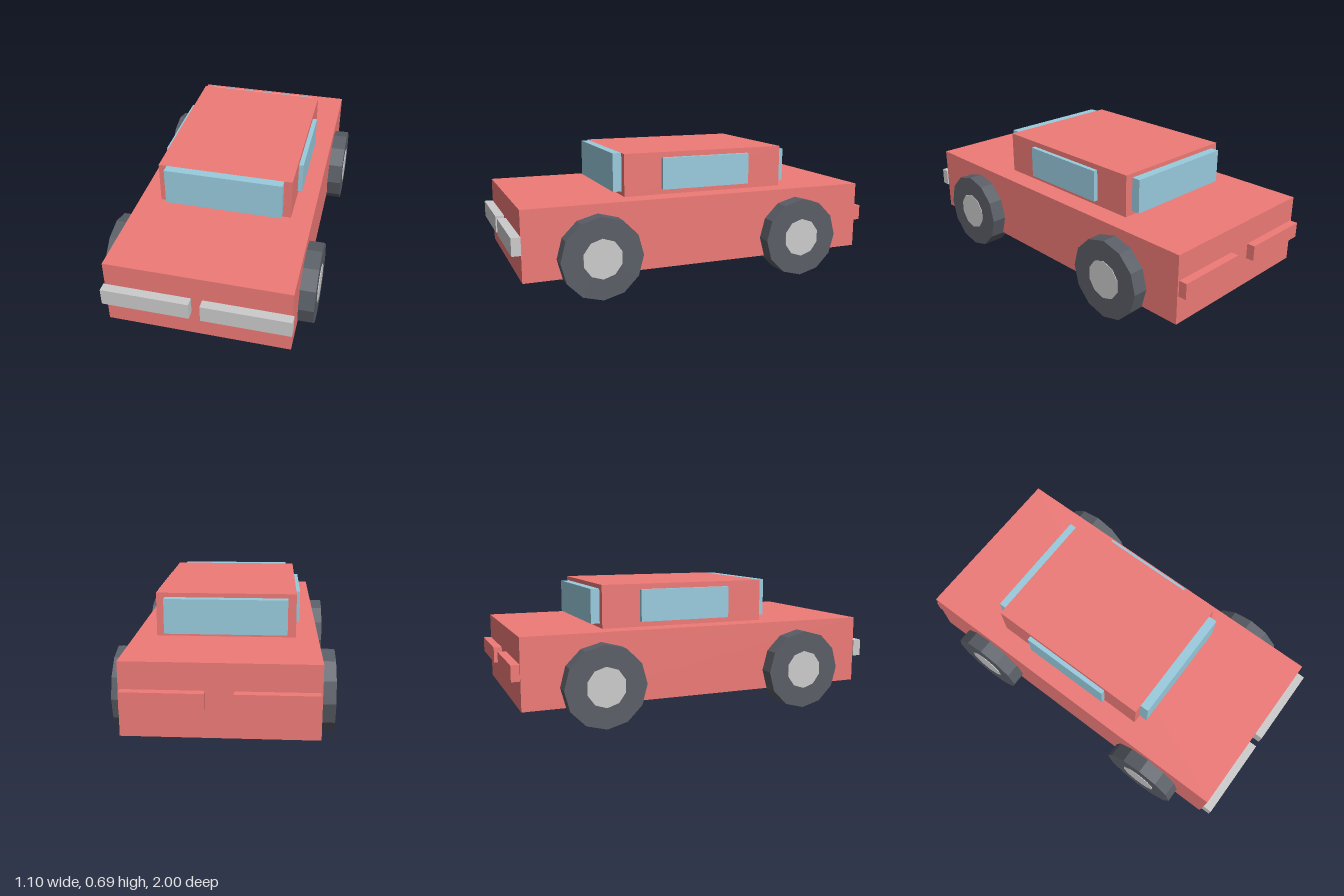
import * as THREE from 'three';

const paint = new THREE.MeshStandardMaterial({ color: 0xee7a77, flatShading: true });
const glass = new THREE.MeshStandardMaterial({ color: 0x99cbde, flatShading: true });
const rubber = new THREE.MeshStandardMaterial({ color: 0x5a5e66, flatShading: true });
const metal = new THREE.MeshStandardMaterial({ color: 0xcccccc, flatShading: true });

// Box given by its extents along each axis
function block(name, material, [x0, x1], [y0, y1], [z0, z1]) {
  const mesh = new THREE.Mesh(new THREE.BoxGeometry(x1 - x0, y1 - y0, z1 - z0), material);
  mesh.position.set((x0 + x1) / 2, (y0 + y1) / 2, (z0 + z1) / 2);
  mesh.name = name;
  return mesh;
}

// Disc-like cylinder lying along x
function disc(name, material, radius, width, sides) {
  const geometry = new THREE.CylinderGeometry(radius, radius, width, sides);
  geometry.rotateZ(Math.PI / 2).rotateX(Math.PI / 2);
  const mesh = new THREE.Mesh(geometry, material);
  mesh.name = name;
  return mesh;
}

function wheel(name, side, z) {
  const group = new THREE.Group();
  group.name = name;
  const hub = disc('hub', metal, 0.103, 0.06, 10);
  hub.position.x = side * 0.034;
  group.add(disc('tyre', rubber, 0.212, 0.122, 12), hub);
  group.position.set(side * 0.486, 0.212, z);
  return group;
}

export function createModel() {
  const car = new THREE.Group();
  car.name = 'car';

  // Body and cabin
  car.add(block('body', paint, [-0.467, 0.467], [0.108, 0.472], [-0.957, 0.953]));
  car.add(block('cabin', paint, [-0.354, 0.354], [0.472, 0.695], [-0.515, 0.395]));

  // Front and rear glass
  car.add(block('windshield', glass, [-0.311, 0.311], [0.494, 0.695], [0.395, 0.442]));
  car.add(block('rearWindow', glass, [-0.311, 0.311], [0.494, 0.673], [-0.562, -0.515]));

  // Mirrored parts
  for (const [label, side] of [['left', 1], ['right', -1]]) {
    const span = (a, b) => (side > 0 ? [a, b] : [-b, -a]);
    car.add(block(label + 'SideWindow', glass, span(0.354, 0.378), [0.5, 0.667], [-0.31, 0.19]));
    car.add(block(label + 'FrontBumper', metal, span(0.028, 0.474), [0.25, 0.341], [0.953, 1]));
    car.add(block(label + 'RearBumper', paint, span(0.067, 0.458), [0.257, 0.339], [-1, -0.957]));
    car.add(wheel(label + 'FrontWheel', side, 0.571));
    car.add(wheel(label + 'RearWheel', side, -0.555));
  }
  return car;
}
